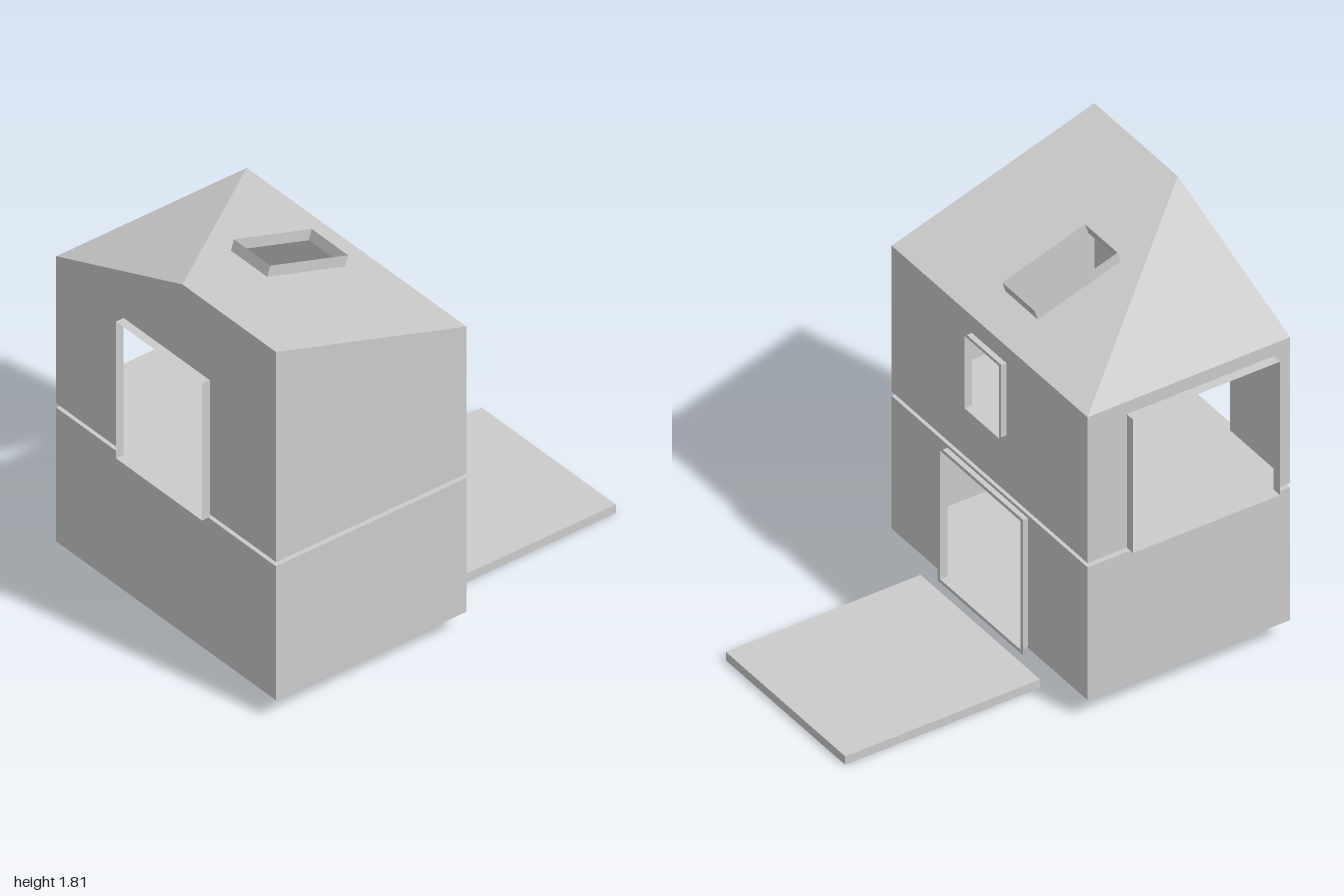
import * as THREE from 'three';

const material = new THREE.MeshStandardMaterial({ color: 0xcccccc, side: THREE.DoubleSide, flatShading: true });
const X0 = -0.685, X1 = 0.725, Z0 = -0.02, Z1 = 0.96;   // house footprint
const EAVE = 1.5, RIDGE = 1.81, PEAK_X = 0.125;

const AXIS = { x: [1, 0, 0], y: [0, 1, 0], z: [0, 0, 1], nx: [-1, 0, 0], nz: [0, 0, -1] };

// Drawing plane: origin, plus the directions of its local x and y; local z points outwards
function plane(origin, u, v) {
  const a = new THREE.Vector3(...u).normalize();
  const b = new THREE.Vector3(...v).normalize();
  return new THREE.Matrix4().makeBasis(a, b, a.clone().cross(b)).setPosition(...origin);
}

const rect = (a, b, c, d) => [[a, c], [b, c], [b, d], [a, d]];
const points = (list) => list.map(([x, y]) => new THREE.Vector2(x, y));

// Thin sheet with an optional opening
function panel(name, frame, outline, hole) {
  const shape = new THREE.Shape(points(outline));
  if (hole) shape.holes.push(new THREE.Path(points(rect(...hole))));
  const mesh = new THREE.Mesh(new THREE.ShapeGeometry(shape).applyMatrix4(frame), material);
  mesh.name = name;
  return mesh;
}

// Thin four-sided lining that stands out from an opening, with an optional flat rim
function lining(name, frame, [a, b, c, d], depth, rim = 0) {
  const group = new THREE.Group();
  group.name = name;
  const w = b - a, h = d - c, cx = (a + b) / 2, cy = (c + d) / 2;
  for (const s of [-1, 1]) {
    const jamb = new THREE.PlaneGeometry(depth, h).rotateY(s * Math.PI / 2)
      .translate(cx + s * w / 2, cy, depth / 2);
    const rail = new THREE.PlaneGeometry(w, depth).rotateX(-s * Math.PI / 2)
      .translate(cx, cy + s * h / 2, depth / 2);
    for (const [part, geometry] of [['jamb', jamb], ['rail', rail]]) {
      const mesh = new THREE.Mesh(geometry.applyMatrix4(frame), material);
      mesh.name = part;
      group.add(mesh);
    }
  }
  if (rim) {
    const raised = frame.clone().multiply(new THREE.Matrix4().makeTranslation(0, 0, depth));
    group.add(panel('rim', raised, rect(a - rim, b + rim, c - rim, d + rim), [a, b, c, d]));
  }
  return group;
}

export function createModel() {
  const model = new THREE.Group();
  model.name = 'house';

  // Wall planes; local x runs along the wall, local y is height
  const front = plane([0, 0, Z1], AXIS.x, AXIS.y);
  const back = plane([0, 0, Z0], AXIS.nx, AXIS.y);
  const left = plane([X1, 0, 0], AXIS.nz, AXIS.y);
  const right = plane([X0, 0, 0], AXIS.z, AXIS.y);
  const level = (y) => plane([0, y, 0], AXIS.x, AXIS.nz);
  const footprint = rect(X0, X1, -Z1, -Z0);

  // Lower storey: closed box with a back door
  const L0 = 0.096, L1 = 0.755;
  const backDoor = [-0.323, 0.257, 0.102, 0.74];
  model.add(
    panel('lowerFrontWall', front, rect(X0, X1, L0, L1)),
    panel('lowerBackWall', back, rect(-X1, -X0, L0, L1), backDoor),
    panel('lowerLeftWall', left, rect(-Z1, -Z0, L0, L1)),
    panel('lowerRightWall', right, rect(Z0, Z1, L0, L1)),
    panel('lowerFloor', level(L0), footprint),
    panel('lowerCeiling', level(L1), footprint),
    lining('backDoorFrame', back, backDoor, 0.036, 0.017),
  );

  // Upper storey: front doorway, open right side and a back window
  const U0 = 0.776;
  const frontDoor = [-0.252, 0.301, 0.763, 1.436];
  const sideDoor = [0.17, 0.88, U0, 1.438];
  const window = [-0.147, 0.101, 1.057, 1.416];
  const doorway = ([a, b, , top]) => [[a, U0], [a, top], [b, top], [b, U0]];
  model.add(
    panel('upperFrontWall', front,
      [[X0, U0], ...doorway(frontDoor), [X1, U0], [X1, RIDGE], [PEAK_X, RIDGE], [X0, EAVE]]),
    panel('upperBackWall', back, rect(-X1, -X0, U0, EAVE), window),
    panel('upperLeftWall', left, [[-Z1, U0], [-Z0, U0], [-Z0, EAVE], [-Z1, RIDGE]]),
    panel('upperRightWall', right, [[Z0, U0], ...doorway(sideDoor), [Z1, U0], [Z1, EAVE], [Z0, EAVE]]),
    panel('upperFloor', level(U0), footprint),
    lining('frontDoorFrame', front, frontDoor, 0.04),
    lining('sideDoorFrame', right, sideDoor, 0.045),
    lining('windowFrame', back, window, 0.036, 0.015),
  );

  // Roof: main slope rising to the front, and a triangular hip on the right
  const rise = RIDGE - EAVE;
  const slope = plane([0, EAVE, Z0], AXIS.nx, [0, rise, Z1 - Z0]);
  const hip = plane([X0, EAVE, 0], AXIS.z, [PEAK_X - X0, rise, 0]);
  const slopeLength = Math.hypot(rise, Z1 - Z0);
  const skylight = [-0.153, 0.08, 0.174, 0.594];
  model.add(
    panel('roofSlope', slope,
      [[-X1, 0], [-X0, 0], [-PEAK_X, slopeLength], [-X1, slopeLength]], skylight),
    panel('roofHip', hip, [[Z0, 0], [Z1, 0], [Z1, Math.hypot(rise, PEAK_X - X0)]]),
    lining('skylightFrame', slope, skylight, 0.051),
  );

  // Terrace behind the house: thin deck with a skirt, open underneath
  const deck = [-0.4, 0.46, 0.058, 1];
  model.add(
    panel('terraceDeck', level(0.042), rect(...deck)),
    lining('terraceSkirt', level(0), deck, 0.042),
  );
  return model;
}
